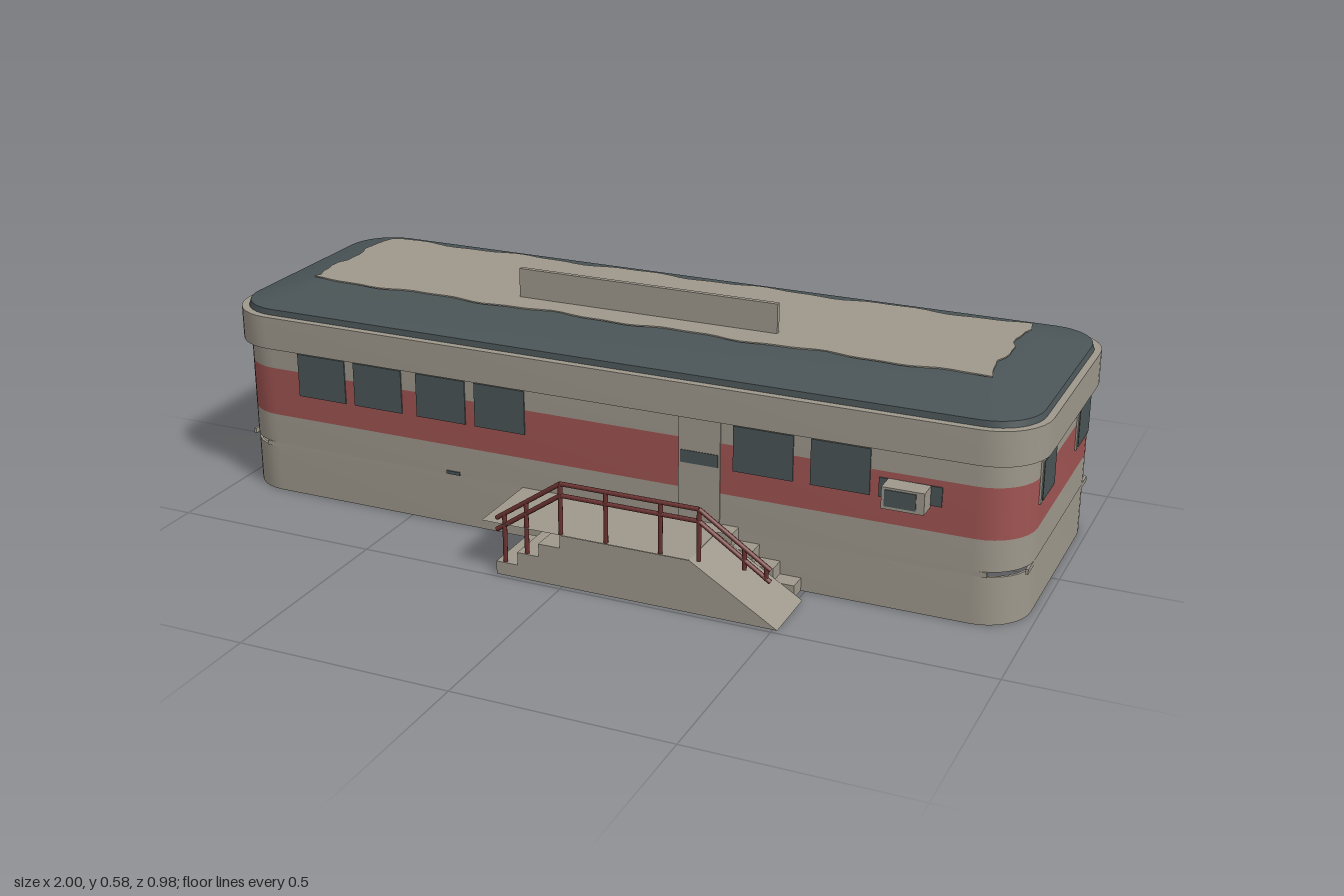
import * as THREE from 'three';
import { toCreasedNormals } from 'three/addons/utils/BufferGeometryUtils.js';

const mat = (name, color) => {
  const m = new THREE.MeshStandardMaterial({ color });
  m.name = name;
  return m;
};

export function createModel() {
  const root = new THREE.Group();
  root.name = 'diner';
  const grey = mat('warm grey', 0x9e988c);
  const red = mat('red band', 0x9f5452);
  const dark = mat('slate', 0x4a5456);
  const rail = mat('maroon rail', 0x6a3230);
  const ZC = -0.0375; // body centre in z

  const add = (name, geo, material) => {
    const m = new THREE.Mesh(geo, material);
    m.name = name;
    root.add(m);
    return m;
  };
  // box given by its limits
  const box = (name, material, x0, x1, y0, y1, z0, z1) => {
    const m = add(name, new THREE.BoxGeometry(x1 - x0, y1 - y0, z1 - z0), material);
    m.position.set((x0 + x1) / 2, (y0 + y1) / 2, (z0 + z1) / 2);
  };
  // points of a rounded rectangle, counter-clockwise
  const outline = (hx, hz, r, n = 8) => {
    const pts = [];
    [[1, 1], [-1, 1], [-1, -1], [1, -1]].forEach(([sx, sz], q) => {
      for (let i = 0; i <= n; i++) {
        const a = (q + i / n) * Math.PI / 2;
        pts.push(new THREE.Vector2(sx * (hx - r) + r * Math.cos(a), sz * (hz - r) + r * Math.sin(a)));
      }
    });
    return pts;
  };
  // upright slab from a plan outline, optionally hollow
  const slab = (name, material, pts, y0, y1, hole) => {
    const shape = new THREE.Shape(pts);
    if (hole) shape.holes.push(new THREE.Path(hole));
    const g = new THREE.ExtrudeGeometry(shape, { depth: y1 - y0, bevelEnabled: false });
    g.rotateX(-Math.PI / 2);
    add(name, toCreasedNormals(g, 0.6), material).position.set(0, y0, ZC);
  };

  // hollow skirt with open slots at the corners
  slab('skirt', grey, outline(0.981, 0.3265, 0.11), 0, 0.114, outline(0.975, 0.3205, 0.104));
  for (const s of [1, -1]) {
    const z = ZC + s * 0.3235, x = s * 0.978;
    box('skirtSideStrip', grey, -0.905, 0.905, 0.114, 0.126, z - 0.003, z + 0.003);
    box('skirtEndStrip', grey, x - 0.003, x + 0.003, 0.114, 0.126, ZC - 0.275, ZC + 0.275);
  }

  // walls in horizontal layers
  const wall = outline(0.982, 0.3275, 0.11);
  slab('lowerWall', grey, wall, 0.126, 0.2);
  slab('redBand', red, wall, 0.2, 0.32);
  slab('upperWall', grey, wall, 0.32, 0.38);
  slab('parapet', grey, outline(1, 0.345, 0.125), 0.375, 0.455);

  // hipped roof lofted from three rings
  const rings = [[0.985, 0.3275, 0.11, 0.45], [0.98, 0.325, 0.11, 0.469], [0.83, 0.17, 0.04, 0.51]];
  const pos = [], idx = [];
  rings.forEach(([hx, hz, r, y]) => outline(hx, hz, r).forEach(p => pos.push(p.x, y, ZC - p.y)));
  const n = pos.length / 9;
  for (let k = 0; k < 2; k++) {
    for (let i = 0; i < n; i++) {
      const a = k * n + i, b = k * n + (i + 1) % n;
      idx.push(a, b, b + n, a, b + n, a + n);
    }
  }
  pos.push(0, 0.51, ZC);
  for (let i = 0; i < n; i++) idx.push(2 * n + i, 2 * n + (i + 1) % n, 3 * n);
  const roof = new THREE.BufferGeometry();
  roof.setAttribute('position', new THREE.Float32BufferAttribute(pos, 3));
  roof.setIndex(idx);
  add('roof', toCreasedNormals(roof, 0.35), dark);

  // thin roof deck with a wavy border
  const deck = [], wave = t => 0.007 * Math.cos(t * 19) + 0.003 * Math.cos(t * 47);
  for (let i = 0; i < 60; i++) deck.push(new THREE.Vector2(-0.845 + i * 1.69 / 60, -0.18 + wave(i / 35)));
  for (let i = 0; i < 14; i++) deck.push(new THREE.Vector2(0.845 + wave(i / 20), -0.18 + i * 0.36 / 14));
  for (let i = 0; i < 60; i++) deck.push(new THREE.Vector2(0.845 - i * 1.69 / 60, 0.187 + wave(i / 35)));
  for (let i = 0; i < 14; i++) deck.push(new THREE.Vector2(-0.845 + wave(i / 20), 0.18 - i * 0.36 / 14));
  slab('roofDeck', grey, deck, 0.509, 0.512);
  box('roofSignBoard', grey, -0.31, 0.34, 0.51, 0.582, 0.061, 0.073);

  // long-side doors and windows; s picks the side
  const pane = (name, s, x0, x1, y0, y1, material = dark) => {
    const z = ZC + s * 0.3275;
    box(name, material, x0, x1, y0, y1, z - 0.003, z + 0.003);
  };
  [[-0.8, -0.67], [-0.645, -0.515], [-0.475, -0.345], [-0.32, -0.19], [0.325, 0.465], [0.505, 0.64]]
    .forEach(([a, b]) => pane('frontWindow', 1, a, b, 0.26, 0.367));
  pane('frontLowWindow', 1, 0.66, 0.8, 0.26, 0.305);
  [0.74, 0.585, 0.405, -0.57, -0.74].forEach(x => pane('backWindow', -1, x - 0.066, x + 0.066, 0.26, 0.367));
  [0.255, -0.395].forEach(x => pane('backLowWindow', -1, x - 0.066, x + 0.066, 0.26, 0.295));
  pane('frontDoor', 1, 0.195, 0.295, 0.125, 0.375, grey);
  box('frontDoorPane', dark, 0.2, 0.29, 0.262, 0.292, 0.291, 0.2945);
  pane('backDoor', -1, -0.29, -0.19, 0.125, 0.367);
  pane('vent', 1, -0.4, -0.365, 0.127, 0.135);
  box('airConditioner', grey, 0.68, 0.775, 0.255, 0.305, 0.285, 0.338);
  box('airConditionerGrille', dark, 0.687, 0.757, 0.262, 0.3, 0.335, 0.34);

  // framed windows at both ends
  for (const s of [1, -1]) {
    for (const z of [0.127, -0.2]) {
      const plate = (name, m, x, hz, y0, y1) =>
        box(name, m, s * x - 0.004, s * x + 0.004, y0, y1, z - hz, z + hz);
      plate('endWindowFrame', grey, 0.982, 0.06, 0.257, 0.362);
      plate('endWindow', dark, 0.984, 0.053, 0.264, 0.354);
      plate('endWindowHeader', grey, 0.983, 0.06, 0.365, 0.369);
    }
  }

  // porches: solid stairs and ramp, open-bottomed landings
  const H = 0.125;
  const solid = (name, pts, z0, z1) => {
    const shape = new THREE.Shape(pts.map(p => new THREE.Vector2(...p)));
    add(name, new THREE.ExtrudeGeometry(shape, { depth: z1 - z0, bevelEnabled: false }), grey).position.z = z0;
  };
  // stair from its foot x0 up to x1, four risers
  const stair = (name, x0, x1, z0, z1) => {
    const pts = [];
    for (let i = 0; i < 4; i++) {
      const x = x0 + (x1 - x0) * i / 3;
      pts.push([x, H * i / 4], [x, H * (i + 1) / 4]);
    }
    solid(name, [...pts, [x1, 0]], z0, z1);
  };
  // upward-facing landing sheet
  const landing = (name, x0, x1, z0, z1) => {
    const g = new THREE.PlaneGeometry(x1 - x0, z1 - z0).rotateX(-Math.PI / 2);
    add(name, g, grey).position.set((x0 + x1) / 2, H + 0.0005, (z0 + z1) / 2);
  };
  // landing's outer wall, facing s along z
  const apron = (name, x0, x1, z, s) => {
    const m = add(name, new THREE.PlaneGeometry(x1 - x0, H), grey);
    m.position.set((x0 + x1) / 2, H / 2, z);
    m.rotation.y = s > 0 ? 0 : Math.PI;
  };
  stair('frontStair', -0.165, -0.005, 0.333, 0.488);
  solid('frontRamp', [[0.305, 0], [0.51, 0], [0.305, H]], 0.333, 0.488);
  stair('frontNarrowStair', 0.49, 0.34, 0.28, 0.333);
  landing('frontLanding', -0.2, 0.305, 0.28, 0.488);
  landing('frontLandingCorner', 0.305, 0.34, 0.28, 0.333);
  apron('frontApron', -0.005, 0.305, 0.488, 1);
  stair('backStair', -0.51, -0.365, -0.49, -0.36);
  stair('backStair', 0.145, 0.045, -0.49, -0.36);
  landing('backLanding', -0.365, 0.045, -0.49, -0.36);
  apron('backApron', -0.365, 0.045, -0.49, -1);

  // handrail
  const bar = (name, a, b, r) => {
    const A = new THREE.Vector3(...a), B = new THREE.Vector3(...b);
    const m = add(name, new THREE.CylinderGeometry(r, r, A.distanceTo(B), 8), rail);
    m.position.copy(A).lerp(B, 0.5);
    m.quaternion.setFromUnitVectors(new THREE.Vector3(0, 1, 0), B.sub(A).normalize());
  };
  const Z = 0.481;
  const path = [[-0.165, 0.135], [-0.005, 0.246], [0.325, 0.246], [0.49, 0.135]];
  for (const drop of [0, 0.028]) {
    for (let i = 0; i < 3; i++) {
      bar('handrail', [path[i][0], path[i][1] - drop, Z], [path[i + 1][0], path[i + 1][1] - drop, Z], 0.0055);
    }
  }
  const posts = [[-0.145, 0.03, 0.149], [-0.09, 0.06, 0.187], [-0.005, H, 0.246], [0.105, H, 0.246],
    [0.235, H, 0.246], [0.325, H, 0.246], [0.43, H, 0.175], [0.48, 0.11, 0.142]];
  posts.forEach(([x, y0, y1]) => bar('railPost', [x, y0, Z], [x, y1, Z], 0.0055));

  return root;
}
